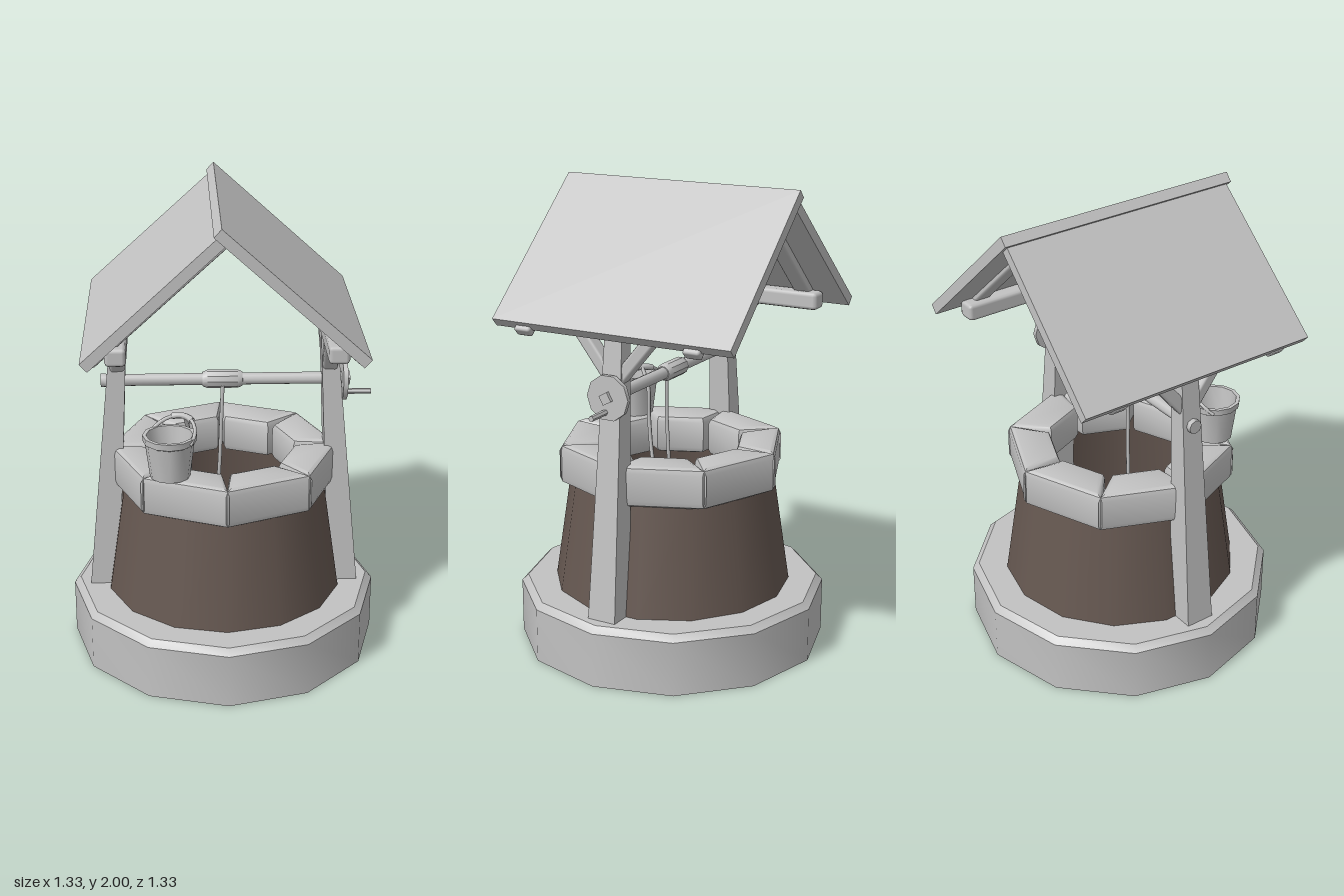
import * as THREE from 'three';
import { toCreasedNormals } from 'three/addons/utils/BufferGeometryUtils.js';
import { RoundedBoxGeometry } from 'three/addons/geometries/RoundedBoxGeometry.js';

const V = (x, y, z) => new THREE.Vector3(x, y, z);

export function createModel() {
  const model = new THREE.Group();
  const grey = new THREE.MeshStandardMaterial({ color: 0xc2c2c2, side: THREE.DoubleSide });
  grey.name = 'paleGrey';
  const brown = new THREE.MeshStandardMaterial({ color: 0x665851, side: THREE.DoubleSide });
  brown.name = 'darkBrown';

  const add = (name, geometry, material = grey, parent = model) => {
    const mesh = new THREE.Mesh(geometry, material);
    mesh.name = name;
    parent.add(mesh);
    return mesh;
  };
  const lathe = (points, sides) => toCreasedNormals(
    new THREE.LatheGeometry(points.map(p => new THREE.Vector2(...p)), sides), 0.6);
  // softened timber running between two points
  const timber = (name, a, b, w, h) => {
    const mesh = add(name, new RoundedBoxGeometry(w, h, a.distanceTo(b), 1, Math.min(w, h) * 0.22));
    mesh.position.copy(a).lerp(b, 0.5);
    mesh.lookAt(b);
    return mesh;
  };
  // cylinder lying along x
  const rod = (name, x0, x1, y, z, r, sides) => {
    const g = new THREE.CylinderGeometry(r, r, x1 - x0, sides);
    const mesh = add(name, toCreasedNormals(g.rotateZ(Math.PI / 2), 0.9));
    mesh.position.set((x0 + x1) / 2, y, z);
    return mesh;
  };
  const tube = (name, points, r, steps) => add(name,
    new THREE.TubeGeometry(new THREE.CatmullRomCurve3(points), steps, r, 6));

  // hollow twelve-sided base, open underneath
  add('base', lathe([[0.665, 0], [0.665, 0.235], [0.637, 0.262], [0, 0.262]], 12));

  // tapering shaft
  const shaft = add('wellWall', new THREE.CylinderGeometry(0.44, 0.515, 0.5, 14, 1, true), brown);
  shaft.position.y = 0.5;

  // ring of eight bevelled rim stones
  const rim = new THREE.Group();
  rim.name = 'rimStones';
  model.add(rim);
  const bevel = 0.028, half = Math.PI / 8;
  const outer = 0.5 * Math.cos(half), inner = 0.31 * Math.cos(half);
  const widthAt = d => d * Math.tan(half) - bevel * 1.08;
  const stone = new THREE.Shape([
    [-widthAt(inner), inner + bevel], [widthAt(inner), inner + bevel],
    [widthAt(outer), outer - bevel], [-widthAt(outer), outer - bevel],
  ].map(p => new THREE.Vector2(...p)));
  const stoneGeo = toCreasedNormals(new THREE.ExtrudeGeometry(stone, {
    depth: 0.175 - 2 * bevel, bevelThickness: bevel, bevelSize: bevel, bevelSegments: 2,
  }).rotateX(Math.PI / 2), 0.7);
  for (let i = 0; i < 8; i++) {
    const mesh = add('rimStone', stoneGeo, grey, rim);
    mesh.position.y = 0.905 - bevel;
    mesh.rotation.y = half + i * Math.PI / 4;
  }

  for (const s of [1, -1]) {
    // leaning, tapered post without a bottom face
    const post = new THREE.BoxGeometry(1, 1, 1);
    const p = post.attributes.position;
    for (let i = 0; i < p.count; i++) {
      const top = p.getY(i) > 0;
      const [mid, w, d] = top ? [0.438, 0.066, 0.08] : [0.529, 0.13, 0.13];
      p.setXYZ(i, s * mid + p.getX(i) * w, top ? 1.46 : 0.215, p.getZ(i) * d);
    }
    const index = Array.from(post.index.array);
    index.splice(18, 6);
    post.setIndex(index);
    post.clearGroups();
    post.computeVertexNormals();
    add('post', post);

    // eave beam and its two braces
    timber('eaveBeam', V(s * 0.44, 1.465, -0.48), V(s * 0.44, 1.465, 0.46), 0.085, 0.075);
    for (const e of [1, -1]) {
      timber('brace', V(s * 0.45, 1.25, e * 0.005), V(s * 0.44, 1.47, e * 0.185), 0.065, 0.055);
      // rafters under each roof slope
      timber('rafter', V(s * 0.545, 1.425, e * 0.39 - 0.005), V(0, 1.925, e * 0.39 - 0.005), 0.075, 0.045);
    }
  }

  // roof slabs: profile in xy, swept along z, the left one narrowing towards the ridge
  const roofSlab = (name, high, low, narrow) => {
    const t = 0.045;
    const n = new THREE.Vector2(low[1] - high[1], high[0] - low[0]).normalize();
    if (n.y > 0) n.negate();
    n.multiplyScalar(t);
    const profile = new THREE.Shape([high, low, [low[0] + n.x, low[1] + n.y], [high[0] + n.x, high[1] + n.y]]
      .map(q => new THREE.Vector2(...q)));
    const g = new THREE.ExtrudeGeometry(profile, { depth: 1.095, bevelEnabled: false });
    g.translate(0, 0, -0.57);
    const q = g.attributes.position;
    for (let i = 0; i < q.count; i++) {
      if (Math.abs(q.getX(i)) < 0.2) q.setZ(i, q.getZ(i) - Math.sign(q.getZ(i)) * narrow);
    }
    g.computeVertexNormals();
    add(name, g);
  };
  roofSlab('roofLeftSlope', [-0.035, 1.965], [-0.577, 1.468], 0.015);
  roofSlab('roofRightSlope', [-0.025, 2], [0.56, 1.472], 0);

  // winding axle, drum, wheel and crank
  rod('axle', -0.515, 0.515, 1.2, 0, 0.027, 8);
  rod('axleCap', -0.52, -0.498, 1.2, 0, 0.03, 8);
  const drum = add('ropeDrum', lathe([[0, -0.088], [0.03, -0.085], [0.039, -0.065],
    [0.039, 0.065], [0.03, 0.085], [0, 0.088]], 10).rotateZ(Math.PI / 2));
  drum.position.set(-0.005, 1.2, 0);
  rod('crankWheel', 0.502, 0.522, 1.2, 0, 0.096, 10);
  const hub = add('wheelHub', new THREE.BoxGeometry(0.03, 0.042, 0.042));
  hub.position.set(0.522, 1.2, 0.003);
  hub.rotation.x = 0.5;
  rod('crankHandle', 0.515, 0.628, 1.14, 0.01, 0.012, 6);

  // bucket with a thick rim
  const bucket = add('bucket', lathe([[0, 0], [0.083, 0], [0.102, 0.15], [0.11, 0.155],
    [0.112, 0.182], [0.096, 0.182], [0.074, 0.02], [0, 0.02]], 12));
  bucket.position.set(-0.232, 0.905, 0.33);

  // tilted bail with a thicker grip
  const bail = a => {
    const u = 0.107 * Math.cos(a), v = 0.12 * Math.sin(a);
    return V(-0.232 + 0.77 * u + 0.52 * v, 1.065 + 0.6 * v, 0.33 + 0.64 * u - 0.63 * v);
  };
  const arc = (a0, a1) => Array.from({ length: 9 }, (_, i) => bail(a0 + (a1 - a0) * i / 8));
  tube('bucketBail', arc(0, Math.PI), 0.008, 16);
  tube('bucketGrip', arc(1.1, 2.1), 0.014, 8);

  // rope from the drum, down the shaft and back up to the bail
  tube('rope', [V(-0.005, 1.18, 0.03), V(-0.012, 1.0, 0.035), V(-0.02, 0.8, 0.03), V(-0.04, 0.6, 0.04),
    V(-0.1, 0.54, 0.11), V(-0.14, 0.72, 0.18), V(-0.15, 0.92, 0.205), V(-0.155, 1.06, 0.212),
    V(-0.168, 1.137, 0.25)], 0.009, 48);

  return model;
}
